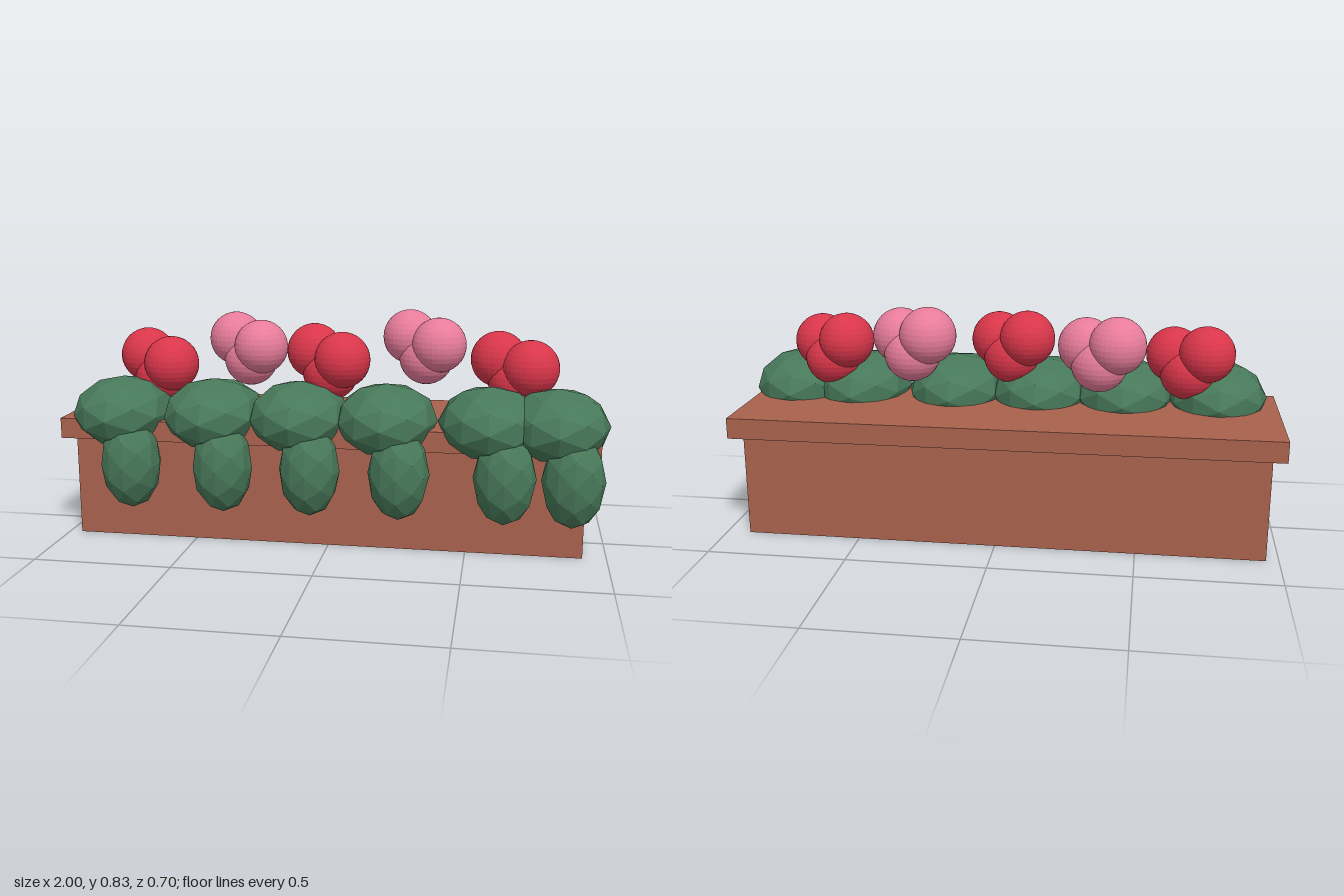
import * as THREE from 'three';

const paint = (color) => new THREE.MeshStandardMaterial({ color, flatShading: true });

export function createModel() {
  const model = new THREE.Group();
  const clay = paint(0xa9624d);
  const leaf = paint(0x48795a);
  const red = paint(0xd9364a);
  const pink = paint(0xe77c9b);

  const add = (parent, name, geometry, material, x, y, z) => {
    const mesh = new THREE.Mesh(geometry, material);
    mesh.name = name;
    mesh.position.set(x, y, z);
    parent.add(mesh);
    return mesh;
  };

  // Planter trough with an overhanging rim
  add(model, 'planterBox', new THREE.BoxGeometry(1.87, 0.375, 0.487), clay, -0.02, 0.1875, -0.068);
  add(model, 'planterRim', new THREE.BoxGeometry(1.96, 0.075, 0.563), clay, -0.02, 0.4125, -0.068);

  // Faceted bushes, each with a trailing clump hanging over the front
  const clump = new THREE.IcosahedronGeometry(1, 1);
  [-0.78, -0.435, -0.115, 0.205, 0.575, 0.81].forEach((x, i) => {
    const plant = new THREE.Group();
    plant.name = `plant${i + 1}`;
    add(plant, 'bush', clump, leaf, x, 0.47, 0.12).scale.set(0.185, 0.13, 0.225);
    add(plant, 'trailingLeaves', clump, leaf, x + 0.058, 0.3, 0.24).scale.set(0.11, 0.17, 0.108);
    model.add(plant);
  });

  // Flower heads: three overlapping balls per cluster
  const ball = new THREE.SphereGeometry(0.102, 32, 16);
  const offsets = [[0, 0, 0], [0.115, -0.02, 0.075], [0.065, -0.073, 0.033]];
  const clusters = [
    [-0.73, 0.66, -0.02, red],
    [-0.415, 0.712, -0.147, pink],
    [-0.078, 0.694, 0.005, red],
    [0.26, 0.732, -0.162, pink],
    [0.597, 0.675, -0.032, red],
  ];
  clusters.forEach(([x, y, z, color], i) => {
    const flower = new THREE.Group();
    flower.name = `flowerCluster${i + 1}`;
    flower.position.set(x, y, z);
    offsets.forEach((o) => add(flower, 'blossom', ball, color, ...o));
    model.add(flower);
  });

  return model;
}
